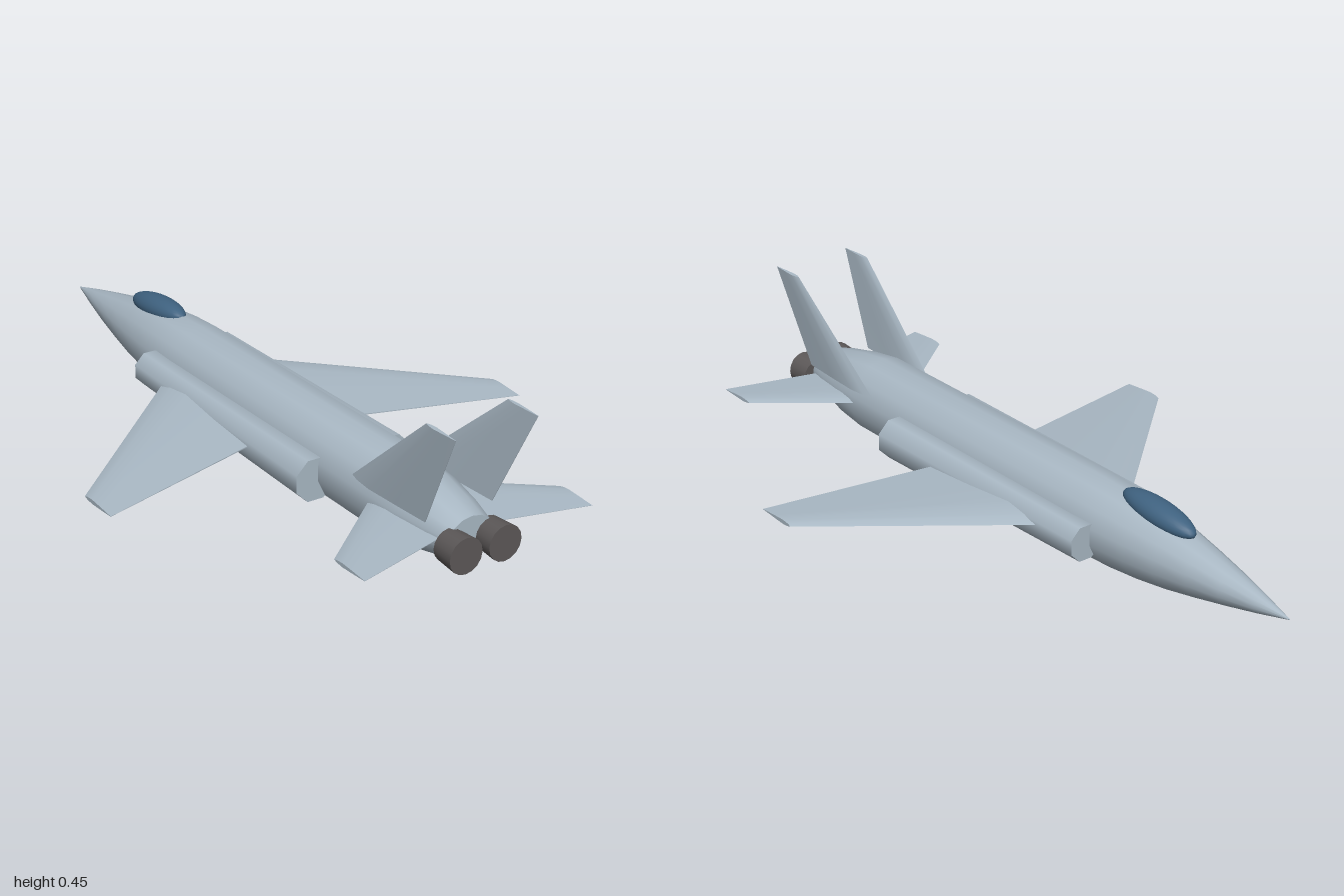
import * as THREE from 'three';
import { toCreasedNormals } from 'three/addons/utils/BufferGeometryUtils.js';

// Capped skin through equal-length rings, each running counter-clockwise about the loft direction
function loft(rings, flip = false) {
  const n = rings[0].length, last = rings.length - 1;
  const index = [];
  const tri = (a, b, c) => (flip ? index.push(a, c, b) : index.push(a, b, c));
  for (let r = 0; r < last; r++) {
    for (let i = 0; i < n; i++) {
      const j = (i + 1) % n, a = r * n + i, b = r * n + j;
      tri(a, b, b + n);
      tri(a, b + n, a + n);
    }
  }
  for (let i = 1; i < n - 1; i++) {
    tri(0, i + 1, i);
    tri(last * n, last * n + i, last * n + i + 1);
  }
  const geo = new THREE.BufferGeometry();
  geo.setAttribute('position', new THREE.Float32BufferAttribute(rings.flat(2), 3));
  geo.setIndex(index);
  return toCreasedNormals(geo, 0.6);
}

// Thin aerofoil: [chord fraction, thickness fraction], from the leading edge over the top and back
const AEROFOIL = [[0, 0], [0.1, 0.32], [0.28, 0.5], [0.6, 0.32], [1, 0.04],
  [1, -0.04], [0.6, -0.32], [0.28, -0.5], [0.1, -0.32]];

// Tapered surface between two sections { x, y, lead, trail, thick }
function foil(root, tip, side) {
  const dx = tip.x - root.x, dy = tip.y - root.y, len = Math.hypot(dx, dy);
  const ring = (s) => AEROFOIL.map(([c, t]) => [
    side * (s.x - (dy / len) * t * s.thick),
    s.y + (dx / len) * t * s.thick,
    s.lead + (s.trail - s.lead) * c,
  ]);
  return loft([ring(root), ring(tip)], side < 0);
}

export function createModel() {
  const model = new THREE.Group();
  model.name = 'jetAircraft';
  const paint = (name, color) => {
    const m = new THREE.MeshStandardMaterial({ color });
    m.name = name;
    return m;
  };
  const grey = paint('airframeGrey', 0xa9b8c4);
  const glass = paint('canopyBlue', 0x3f6280);
  const metal = paint('nozzleGrey', 0x5c5858);
  const add = (name, geo, mat) => {
    const mesh = new THREE.Mesh(geo, mat);
    mesh.name = name;
    model.add(mesh);
    return mesh;
  };

  // Fuselage stations: z, centre height, half width, half height
  const stations = [
    [-1, 0.113, 0.001, 0.001], [-0.9, 0.114, 0.026, 0.026], [-0.8, 0.115, 0.049, 0.048],
    [-0.7, 0.116, 0.068, 0.069], [-0.6, 0.117, 0.085, 0.088], [-0.5, 0.118, 0.098, 0.102],
    [-0.4, 0.119, 0.107, 0.111], [-0.3, 0.12, 0.111, 0.115], [0.65, 0.128, 0.114, 0.114],
    [0.75, 0.128, 0.105, 0.1], [0.85, 0.128, 0.088, 0.078], [0.92, 0.128, 0.07, 0.058],
  ];
  const SIDES = 14;
  add('fuselage', loft(stations.map(([z, y, w, h]) =>
    Array.from({ length: SIDES }, (_, i) => {
      const a = ((i + 0.5) / SIDES) * Math.PI * 2;
      return [w * Math.cos(a), y + h * Math.sin(a), z];
    }))), grey);

  // Canopy bubble, tilted to follow the nose
  const canopy = add('canopy', new THREE.SphereGeometry(1, 24, 16), glass);
  canopy.scale.set(0.042, 0.035, 0.132);
  canopy.position.set(0, 0.213, -0.53);
  canopy.rotation.x = -0.1;

  for (const side of [1, -1]) {
    const label = side > 0 ? 'left' : 'right';

    // Octagonal air intake, widening to the rear
    const intake = new THREE.CylinderGeometry(0.0627, 0.052, 0.82, 8);
    intake.rotateY(Math.PI / 8).rotateX(Math.PI / 2);
    add(label + 'Intake', intake, grey).position.set(side * 0.118, 0.108, 0.025);

    add(label + 'Wing', foil(
      { x: 0.08, y: 0.122, lead: -0.32, trail: 0.18, thick: 0.042 },
      { x: 0.643, y: 0.099, lead: 0.18, trail: 0.31, thick: 0.013 }, side), grey);

    add(label + 'Tailplane', foil(
      { x: 0.05, y: 0.134, lead: 0.6, trail: 0.885, thick: 0.022 },
      { x: 0.342, y: 0.134, lead: 0.838, trail: 0.962, thick: 0.011 }, side), grey);

    add(label + 'TailFin', foil(
      { x: 0.101, y: 0.176, lead: 0.57, trail: 0.87, thick: 0.025 },
      { x: 0.121, y: 0.45, lead: 0.888, trail: 1.0, thick: 0.012 }, side), grey);

    // Engine nozzle with a slightly flared end
    const nozzle = new THREE.CylinderGeometry(0.049, 0.044, 0.07, 16);
    nozzle.rotateX(Math.PI / 2);
    add(label + 'Nozzle', nozzle, metal).position.set(side * 0.059, 0.121, 0.943);
  }
  return model;
}
